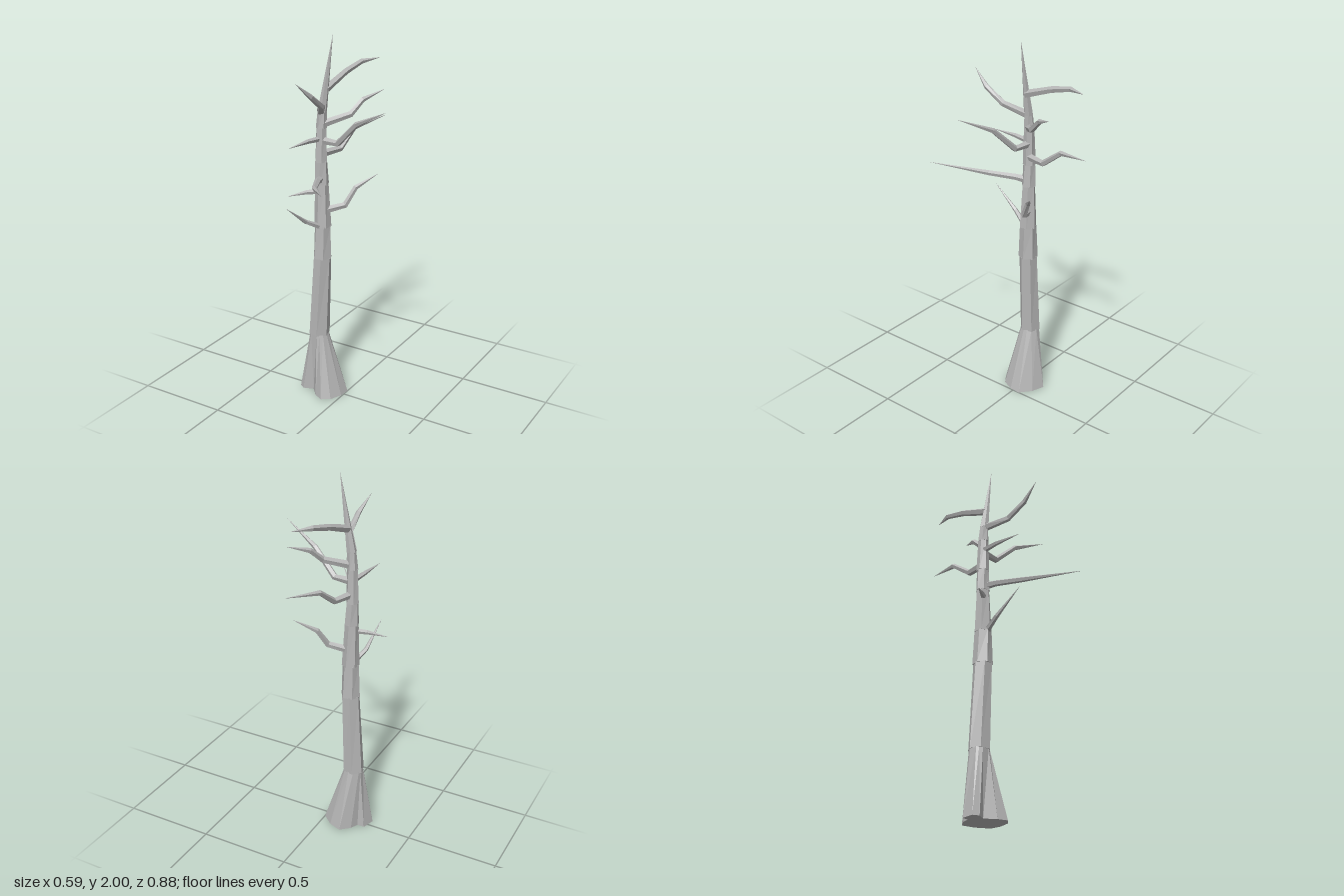
import * as THREE from 'three';

const V = (a) => new THREE.Vector3(...a);

// Skins a list of rings (counter-clockwise seen against the growth direction), closing both ends
function loft(rings) {
  const pos = [];
  const tri = (...pts) => pts.forEach((p) => pos.push(p.x, p.y, p.z));
  const n = rings[0].length;
  const mid = (r) => r.reduce((s, p) => s.add(p), new THREE.Vector3()).divideScalar(n);
  const last = rings[rings.length - 1];
  const c0 = mid(rings[0]), c1 = mid(last);
  for (let i = 0; i < n; i++) {
    const j = (i + 1) % n;
    for (let k = 0; k < rings.length - 1; k++) {
      const a = rings[k], b = rings[k + 1];
      tri(a[i], a[j], b[j]);
      tri(a[i], b[j], b[i]);
    }
    tri(c0, rings[0][j], rings[0][i]);
    tri(c1, last[i], last[j]);
  }
  const g = new THREE.BufferGeometry();
  g.setAttribute('position', new THREE.Float32BufferAttribute(pos, 3));
  g.computeVertexNormals();
  return g;
}

// Ring of points around c, square to direction dir
function ring(c, dir, r, sides, turn = 0) {
  const ref = Math.abs(dir.y) > 0.9 ? new THREE.Vector3(0, 0, 1) : new THREE.Vector3(0, 1, 0);
  const u = ref.clone().addScaledVector(dir, -ref.dot(dir)).normalize();
  const v = dir.clone().cross(u);
  return Array.from({ length: sides }, (_, i) => {
    const a = turn + (i / sides) * Math.PI * 2;
    return c.clone().addScaledVector(u, r * Math.cos(a)).addScaledVector(v, r * Math.sin(a));
  });
}

// Crooked limb: rings at every bend, tapering to a point
function limb(points, radii, sides) {
  const p = points.map(V);
  return loft(p.map((c, i) => {
    const dir = p[Math.min(i + 1, p.length - 1)].clone().sub(p[Math.max(i - 1, 0)]).normalize();
    return ring(c, dir, radii[i], sides);
  }));
}

export function createModel() {
  const tree = new THREE.Group();
  tree.name = 'deadTree';
  const bark = new THREE.MeshStandardMaterial({ color: 0xb6b6b6, flatShading: true });
  bark.name = 'greyBark';
  const add = (name, geometry) => {
    const m = new THREE.Mesh(geometry, bark);
    m.name = name;
    tree.add(m);
  };

  // Flared root foot with clefts between the roots (x, z outline on the ground)
  const foot = [
    [-0.06, -0.092], [-0.13, -0.118], [-0.18, -0.072], [-0.2, -0.03], [-0.24, -0.03],
    [-0.26, 0.04], [-0.23, 0.06], [-0.175, 0.04], [-0.13, 0.09], [-0.08, 0.115],
    [-0.035, 0.085], [-0.005, 0.02], [0, -0.04],
  ];
  const up = new THREE.Vector3(0, 1, 0);
  add('rootFlare', loft([
    foot.map(([x, z]) => new THREE.Vector3(x, 0, z)),
    foot.map(([x, z]) => {
      const a = Math.atan2(z, x + 0.15);
      return new THREE.Vector3(-0.157 + 0.051 * Math.cos(a), 0.35, 0.051 * Math.sin(a));
    }),
  ]));

  // Trunk sections: bottom [y, x, radius], top [y, x, radius]
  const sections = [
    [0.345, -0.157, 0.057, 0.81, -0.133, 0.049],
    [0.805, -0.133, 0.052, 0.99, -0.131, 0.044],
    [0.985, -0.13, 0.046, 1.225, -0.134, 0.035],
    [1.22, -0.134, 0.038, 1.345, -0.137, 0.032],
    [1.34, -0.137, 0.034, 1.525, -0.134, 0.027],
    [1.52, -0.134, 0.029, 1.615, -0.128, 0.023],
    [1.61, -0.128, 0.025, 2, -0.063, 0.0005],
  ];
  sections.forEach(([y0, x0, r0, y1, x1, r1], i) => {
    const turn = 0.25 + i * 0.35;
    add(`trunkSection${i + 1}`, loft([
      ring(V([x0, y0, 0]), up, r0, 6, turn),
      ring(V([x1, y1, 0]), up, r1, 6, turn + 0.1),
    ]));
  });

  // Bare branches, each a path from the trunk to a pointed tip
  const branches = [
    [[-0.13, 0.985, 0.02], [-0.165, 1.035, 0.11], [-0.18, 1.15, 0.26]],
    [[-0.13, 1.07, 0], [-0.025, 1.105, -0.055], [0.01, 1.195, -0.105], [0.102, 1.265, -0.183]],
    [[-0.14, 1.18, 0.01], [-0.2, 1.172, 0.04], [-0.295, 1.145, 0.09]],
    [[-0.135, 1.25, 0.01], [-0.115, 1.257, 0.07], [-0.05, 1.268, 0.2], [0.143, 1.33, 0.438]],
    [[-0.13, 1.385, 0], [-0.095, 1.387, -0.12], [-0.08, 1.475, -0.24], [-0.003, 1.507, -0.438]],
    [[-0.13, 1.455, 0], [-0.03, 1.455, 0.01], [0.1, 1.58, 0.045], [0.293, 1.677, 0.104]],
    [[-0.14, 1.462, 0], [-0.155, 1.468, 0.1], [-0.165, 1.468, 0.25]],
    [[-0.13, 1.54, 0], [-0.02, 1.585, -0.1], [0.01, 1.65, -0.17], [0.078, 1.692, -0.275]],
    [[-0.13, 1.61, 0.01], [-0.062, 1.665, 0.11], [-0.057, 1.735, 0.215], [-0.082, 1.812, 0.307]],
    [[-0.107, 1.725, 0], [-0.092, 1.785, -0.17], [-0.072, 1.817, -0.295], [-0.02, 1.825, -0.402]],
  ];
  branches.forEach((path, i) => {
    const radii = path.length === 4 ? [0.021, 0.017, 0.014, 0.0005] : [0.016, 0.012, 0.0005];
    add(`branch${i + 1}`, limb(path, radii, 5));
  });

  return tree;
}
